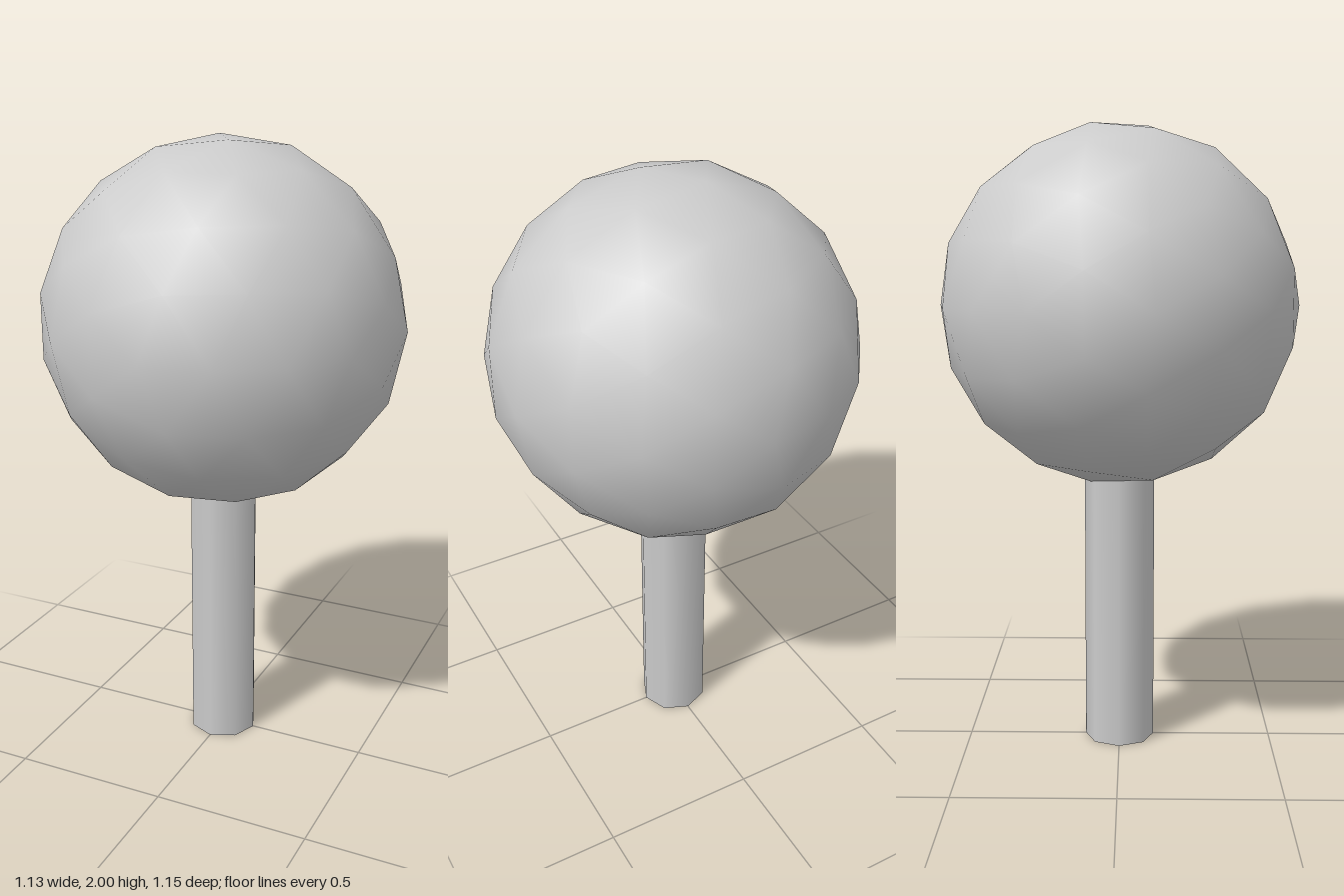
import * as THREE from 'three';
import { ConvexGeometry } from 'three/addons/geometries/ConvexGeometry.js';

// Icosphere with its poles on z; every icosahedron edge is cut into three equal arcs
function icosphere(radius) {
  const corners = [new THREE.Vector3(0, 0, 1), new THREE.Vector3(0, 0, -1)];
  const ringAngle = Math.atan(2);
  for (let i = 0; i < 5; i++) {
    const a = (i * Math.PI * 2) / 5;
    const ring = new THREE.Vector3(
      Math.sin(ringAngle) * Math.cos(a), Math.sin(ringAngle) * Math.sin(a), Math.cos(ringAngle));
    corners.push(ring, ring.clone().negate());
  }
  const joined = (p, q) => p.dot(q) > 0.4;
  const arcPoint = (p, q, t) => p.clone().multiplyScalar(Math.sin((1 - t) * ringAngle))
    .addScaledVector(q, Math.sin(t * ringAngle)).normalize();

  const points = [...corners];
  corners.forEach((p, i) => corners.slice(i + 1).forEach((q, j) => {
    if (!joined(p, q)) return;
    points.push(arcPoint(p, q, 1 / 3), arcPoint(p, q, 2 / 3));
    corners.slice(i + j + 2).forEach((r) => {
      if (joined(p, r) && joined(q, r)) points.push(p.clone().add(q).add(r).normalize());
    });
  }));

  // The hull joins the points; radial normals make the shading smooth
  const geometry = new ConvexGeometry(points);
  geometry.setAttribute('normal', geometry.attributes.position.clone());
  geometry.scale(radius, radius, radius);
  return geometry;
}

export function createModel() {
  const group = new THREE.Group();
  const material = new THREE.MeshStandardMaterial({ color: 0xcccccc });

  // Round crown
  const crown = new THREE.Mesh(icosphere(0.573), material);
  crown.name = 'crown';
  crown.position.y = 1.437;

  // Eight-sided trunk, its top sunk into the crown
  const trunkHeight = 0.92;
  const trunk = new THREE.Mesh(new THREE.CylinderGeometry(0.113, 0.113, trunkHeight, 8), material);
  trunk.name = 'trunk';
  trunk.position.y = trunkHeight / 2;

  group.add(crown, trunk);
  return group;
}
